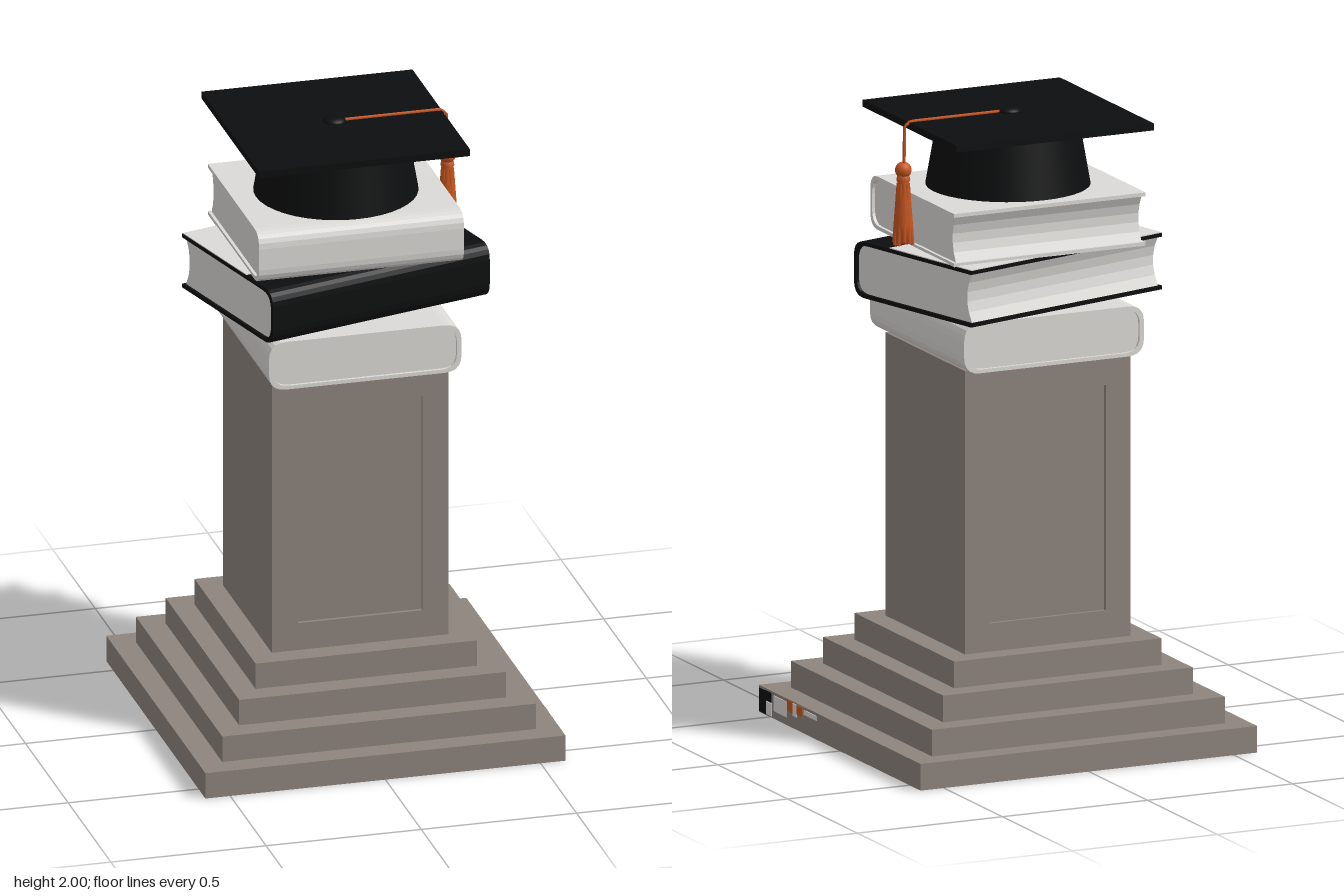
import * as THREE from 'three';

const mat = (name, color, opts = {}) => {
  const m = new THREE.MeshStandardMaterial({ color, ...opts });
  m.name = name;
  return m;
};

export function createModel() {
  const stone = mat('stone', 0x8d847d);
  const black = mat('black', 0x0d0e0f);
  const ivory = mat('ivory', 0xdcdad7);
  const orange = mat('orange', 0xc8561f);

  const model = new THREE.Group();
  model.name = 'graduationPedestal';

  const add = (name, geo, material, x = 0, y = 0, z = 0, parent = model) => {
    const mesh = new THREE.Mesh(geo, material);
    mesh.name = name;
    mesh.position.set(x, y, z);
    parent.add(mesh);
    return mesh;
  };
  const box = (name, w, h, d, m, x, y, z, parent) =>
    add(name, new THREE.BoxGeometry(w, h, d), m, x, y, z, parent);
  const extrude = (shape, depth) =>
    new THREE.ExtrudeGeometry(shape, { depth, bevelEnabled: false, curveSegments: 5 }).translate(0, 0, -depth / 2);

  // Stepped base
  const stepH = 0.085;
  [0.58, 0.505, 0.43, 0.357].forEach((half, i) =>
    box('step' + (i + 1), half * 2, stepH, half * 2, stone, 0, stepH * (i + 0.5), 0));

  // Small paint marks on the left side of the lowest step: [z, y, width, height, material]
  [
    [0.55, 0.04, 0.05, 0.075, black], [0.51, 0.064, 0.04, 0.03, black],
    [0.505, 0.025, 0.04, 0.04, ivory], [0.425, 0.05, 0.09, 0.05, ivory],
    [0.355, 0.065, 0.04, 0.036, orange], [0.32, 0.06, 0.03, 0.04, ivory],
    [0.285, 0.065, 0.04, 0.03, orange], [0.21, 0.068, 0.09, 0.015, ivory],
  ].forEach(([z, y, w, h, m]) => box('paintMark', 0.004, h, w, m, 0.58, y, z));

  // Pillar core with framed, recessed panels front and back
  const y0 = 0.34, y1 = 1.245, half = 0.285, recess = 0.012;
  box('pillar', half * 2, y1 - y0, (half - recess) * 2, stone, 0, (y0 + y1) / 2, 0);
  const rect = (C, x, a, b) => {
    const s = new C();
    s.moveTo(-x, a); s.lineTo(x, a); s.lineTo(x, b); s.lineTo(-x, b); s.closePath();
    return s;
  };
  const frame = rect(THREE.Shape, half, y0, y1);
  frame.holes.push(rect(THREE.Path, 0.2, 0.43, 1.15));
  for (const s of [1, -1])
    add(s > 0 ? 'frontPanelFrame' : 'backPanelFrame', extrude(frame, recess), stone, 0, 0, s * (half - recess / 2));

  // Bottom book: rounded shell running front to back with inset pages
  const rounded = (C, x, a, b, c) => {
    const s = new C();
    s.moveTo(-x + c, a); s.lineTo(x - c, a);
    s.quadraticCurveTo(x, a, x, a + c); s.lineTo(x, b - c);
    s.quadraticCurveTo(x, b, x - c, b); s.lineTo(-x + c, b);
    s.quadraticCurveTo(-x, b, -x, b - c); s.lineTo(-x, a + c);
    s.quadraticCurveTo(-x, a, -x + c, a);
    return s;
  };
  const bottomBook = new THREE.Group();
  bottomBook.name = 'bottomBook';
  bottomBook.position.set(0, 1.245, 0.007);
  model.add(bottomBook);
  const shell = rounded(THREE.Shape, 0.31, 0, 0.16, 0.055);
  shell.holes.push(rounded(THREE.Path, 0.295, 0.012, 0.148, 0.048));
  add('cover', extrude(shell, 0.675), ivory, 0, 0, 0, bottomBook);
  add('pages', extrude(rounded(THREE.Shape, 0.295, 0.012, 0.148, 0.048), 0.655), ivory, 0, 0, 0, bottomBook);

  // Book with its rounded spine toward +z and a hollowed fore edge
  function book(name, len, depth, h, cover, y, turn) {
    const g = new THREE.Group();
    g.name = name;
    g.position.y = y;
    g.rotation.y = turn;
    model.add(g);
    const t = 0.012, c = 0.05, d = depth / 2, k = d - t;
    const s = new THREE.Shape();
    s.moveTo(-d, 0); s.lineTo(d - c, 0);
    s.quadraticCurveTo(d, 0, d, c); s.lineTo(d, h - c);
    s.quadraticCurveTo(d, h, d - c, h); s.lineTo(-d, h);
    s.lineTo(-d, h - t); s.lineTo(k - c, h - t);
    s.quadraticCurveTo(k, h - t, k, h - t - c); s.lineTo(k, t + c);
    s.quadraticCurveTo(k, t, k - c, t); s.lineTo(-d, t);
    add('cover', extrude(s, len).rotateY(-Math.PI / 2), cover, 0, 0, 0, g);
    const p = new THREE.Shape();
    p.moveTo(-d + 0.008, t); p.lineTo(k - c, t);
    p.quadraticCurveTo(k, t, k, t + c); p.lineTo(k, h - t - c);
    p.quadraticCurveTo(k, h - t, k - c, h - t); p.lineTo(-d + 0.008, h - t);
    p.quadraticCurveTo(-d + 0.055, h / 2, -d + 0.008, t);
    add('pages', extrude(p, len - 0.02).rotateY(-Math.PI / 2), ivory, 0, 0, 0, g);
    return g;
  }
  const middle = book('middleBook', 0.78, 0.56, 0.18, black, 1.405, 0.26);
  box('coverPlate', 0.776, 0.004, 0.39, ivory, 0, 0.181, -0.083, middle);
  book('topBook', 0.66, 0.6, 0.17, ivory, 1.585, 0);

  // Cap
  const cap = new THREE.Group();
  cap.name = 'cap';
  model.add(cap);
  add('skullCap', new THREE.CylinderGeometry(0.22, 0.257, 0.21, 40), black, 0, 1.86, 0, cap);
  box('board', 0.68, 0.022, 0.675, black, 0, 1.972, -0.002, cap);
  const button = add('button', new THREE.SphereGeometry(0.036, 20, 12), black, -0.005, 1.985, 0, cap);
  button.scale.y = 0.42;

  // Cord and tassel
  const tassel = new THREE.Group();
  tassel.name = 'tassel';
  model.add(tassel);
  const cord = new THREE.CurvePath();
  const pts = [[0.02, 1.986], [0.335, 1.986], [0.355, 1.972], [0.357, 1.84]]
    .map(([x, y]) => new THREE.Vector3(x, y, 0.003));
  for (let i = 0; i < 3; i++) cord.add(new THREE.LineCurve3(pts[i], pts[i + 1]));
  add('cord', new THREE.TubeGeometry(cord, 40, 0.005, 6), orange, 0, 0, 0, tassel);
  add('knot', new THREE.SphereGeometry(0.026, 16, 12), orange, 0.357, 1.832, 0.008, tassel);
  const skirt = [[0, 1.6], [0.028, 1.6], [0.03, 1.66], [0.024, 1.74], [0.017, 1.79], [0.022, 1.8], [0.018, 1.82], [0, 1.83]]
    .map(([r, y]) => new THREE.Vector2(r, y));
  add('skirt', new THREE.LatheGeometry(skirt, 16), orange, 0.357, 0, 0.008, tassel);
  for (let i = 0; i < 10; i++) {
    const a = (i / 10) * Math.PI * 2;
    const strand = new THREE.LineCurve3(
      new THREE.Vector3(Math.cos(a) * 0.015, 1.79, Math.sin(a) * 0.015),
      new THREE.Vector3(Math.cos(a) * 0.029, 1.595 + (i % 3) * 0.006, Math.sin(a) * 0.029));
    add('strand', new THREE.TubeGeometry(strand, 1, 0.006, 6), orange, 0.357, 0, 0.008, tassel);
  }
  return model;
}
